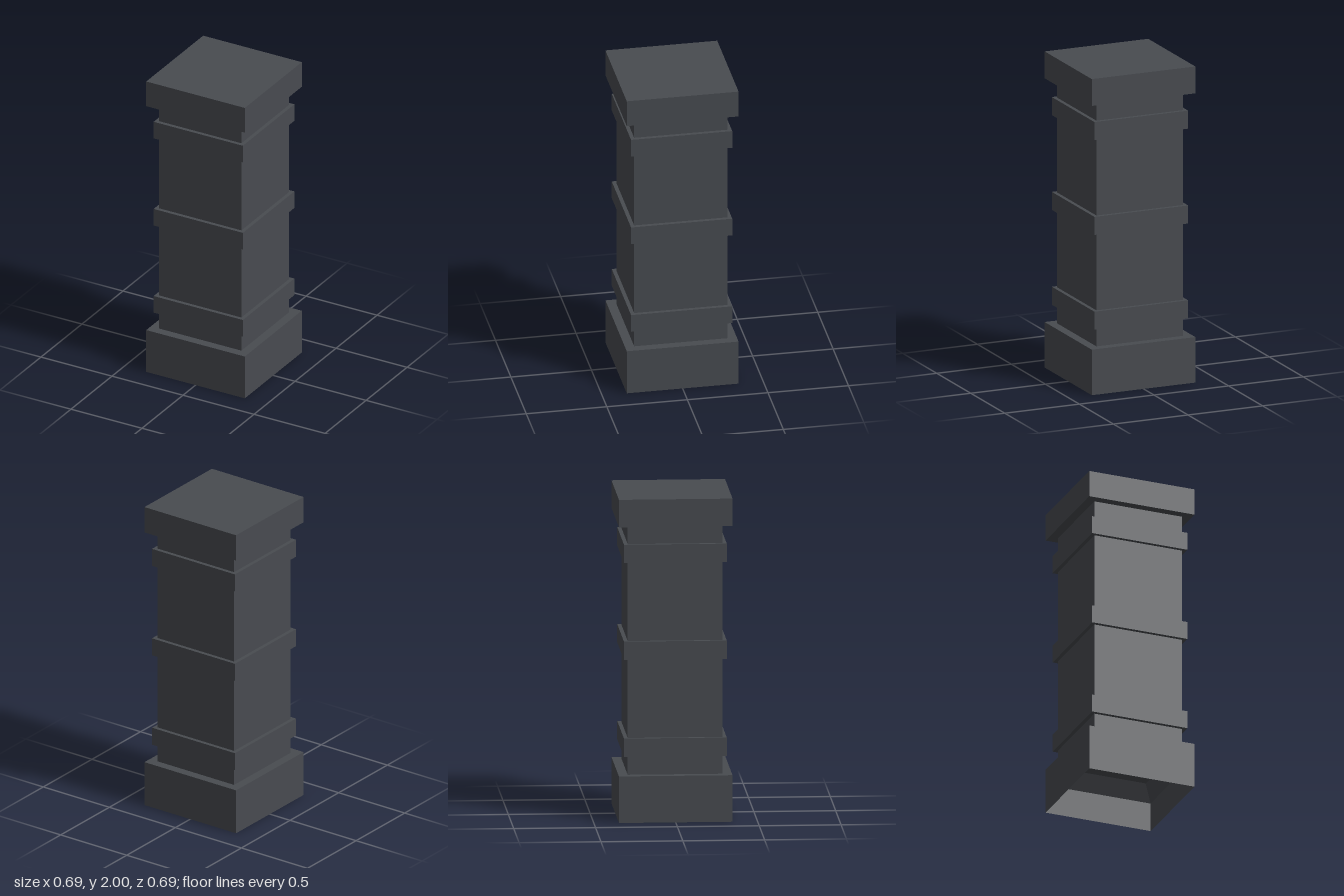
import * as THREE from 'three';

const stone = new THREE.MeshStandardMaterial({ color: 0x484b50 });
stone.name = 'dark stone';

export function createModel() {
  const group = new THREE.Group();
  group.name = 'pillar';

  // Square block from y0 to y1 with the given half width
  const block = (name, half, y0, y1) => {
    const mesh = new THREE.Mesh(new THREE.BoxGeometry(half * 2, y1 - y0, half * 2), stone);
    mesh.position.y = (y0 + y1) / 2;
    mesh.name = name;
    group.add(mesh);
  };

  // Plinth, hollow underneath: the recess rises straight, then tapers in to the shaft
  const profile = [
    [0, 0.286], [0.29, 0.286], [0.345, 0.184], [0.347, 0], [0.347, 0.288], [0.285, 0.288],
  ].map(([half, y]) => new THREE.Vector2(half * Math.SQRT2, y));
  const plinthGeometry = new THREE.LatheGeometry(profile, 4, Math.PI / 4).toNonIndexed();
  plinthGeometry.computeVertexNormals();
  const plinth = new THREE.Mesh(plinthGeometry, stone);
  plinth.name = 'plinth';
  group.add(plinth);

  // Shaft and cap
  block('shaft', 0.29, 0.287, 1.83);
  block('cap', 0.347, 1.83, 2);

  // Raised bands around the shaft
  const bands = { lowerBand: 0.402, middleBand: 1.002, upperBand: 1.602 };
  for (const [name, y] of Object.entries(bands)) block(name, 0.314, y, y + 0.114);

  return group;
}
